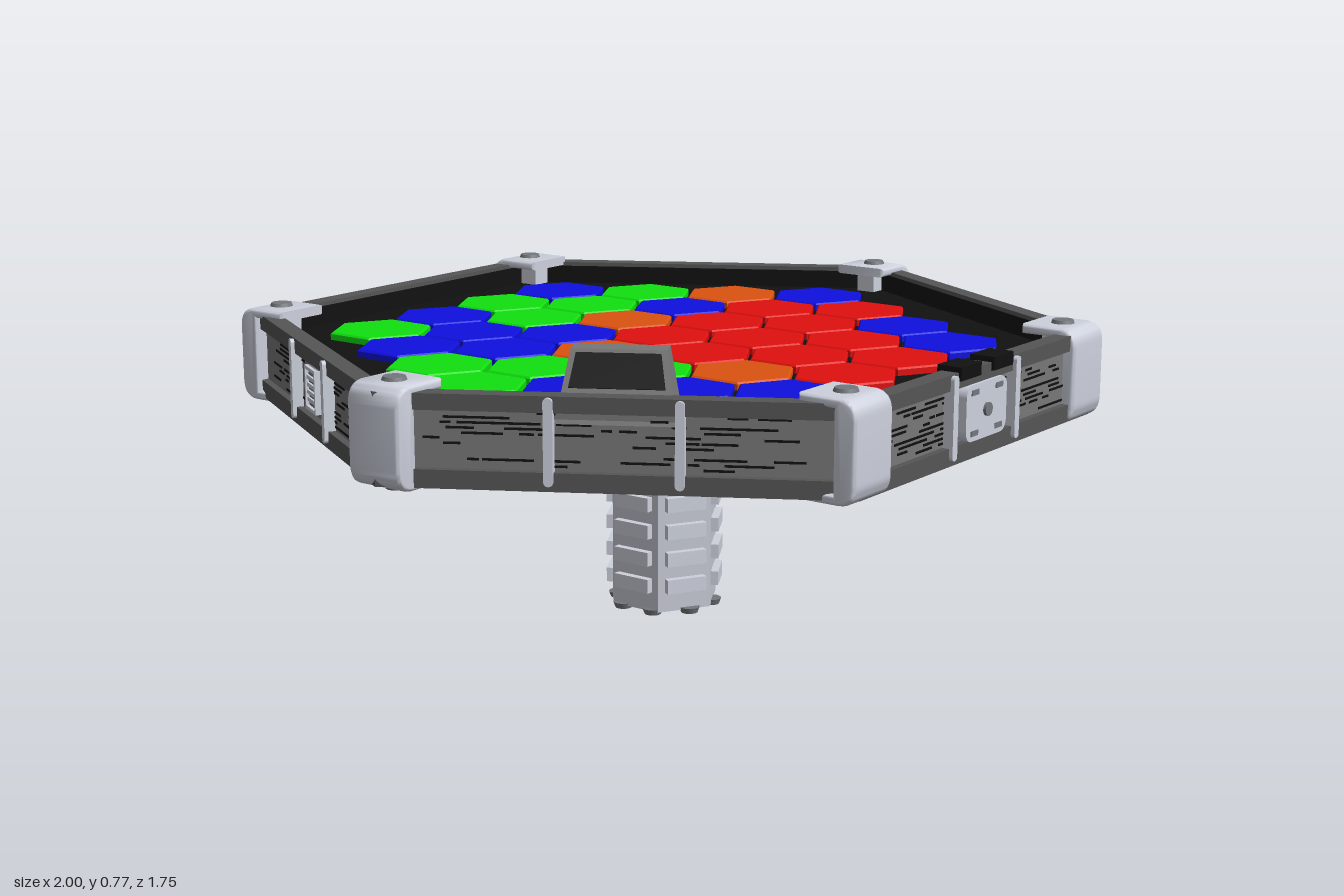
import * as THREE from 'three';
import { mergeGeometries, toCreasedNormals } from 'three/addons/utils/BufferGeometryUtils.js';

const mat = (color) => new THREE.MeshStandardMaterial({ color });
const M = {
  shell: mat(0xcdd1dd), rail: mat(0x555555), panel: mat(0x787878), black: mat(0x111111),
  under: mat(0x606668), screw: mat(0x74787c), column: mat(0xc4c8d2), hood: mat(0x777777),
  R: mat(0xe00f0f), G: mat(0x10e010), B: mat(0x0f0fe0), O: mat(0xdc5210),
};
const S3 = Math.sqrt(3) / 2;

function add(parent, name, geo, material, x = 0, y = 0, z = 0) {
  const m = new THREE.Mesh(geo, material);
  m.name = name;
  m.position.set(x, y, z);
  parent.add(m);
  return m;
}
const box = (w, h, d) => new THREE.BoxGeometry(w, h, d);

// Hexagon outline with flat sides facing +-y of the shape, given its apothem
function hexPoints(apothem, turn = 0) {
  return Array.from({ length: 6 }, (_, i) => {
    const a = turn + (i * Math.PI) / 3;
    return new THREE.Vector2(Math.cos(a), Math.sin(a)).multiplyScalar(apothem / S3);
  });
}

// Upright hexagonal prism or ring
function hexSlab(apothem, hole, y0, y1) {
  const s = new THREE.Shape(hexPoints(apothem));
  if (hole) s.holes.push(new THREE.Path(hexPoints(hole)));
  const g = new THREE.ExtrudeGeometry(s, { depth: y1 - y0, bevelEnabled: false });
  return g.rotateX(-Math.PI / 2).translate(0, y0, 0);
}

// Rectangle with rounded corners, extruded towards +z
function roundedPlate(w, h, r, d) {
  const s = new THREE.Shape(), x = w / 2, y = h / 2;
  s.moveTo(-x + r, -y);
  s.lineTo(x - r, -y).absarc(x - r, -y + r, r, -Math.PI / 2, 0);
  s.lineTo(x, y - r).absarc(x - r, y - r, r, 0, Math.PI / 2);
  s.lineTo(-x + r, y).absarc(-x + r, y - r, r, Math.PI / 2, Math.PI);
  s.lineTo(-x, -y + r).absarc(-x + r, -y + r, r, Math.PI, Math.PI * 1.5);
  return new THREE.ExtrudeGeometry(s, { depth: d, bevelEnabled: false, curveSegments: 6 });
}

// Disc facing +z
const disc = (r, d, n = 24) => new THREE.CylinderGeometry(r, r, d, n).rotateX(Math.PI / 2);

// Dark grain dashes scattered over one wall
function grain(seed, clear) {
  let s = seed;
  const rnd = () => (s = (s * 16807) % 2147483647) / 2147483647;
  const dashes = [];
  for (let i = 0; i < 64; i++) {
    const side = i % 2 ? 1 : -1, len = 0.02 + 0.07 * rnd();
    const x = side * (clear + len / 2 + rnd() * (0.40 - clear - len));
    const y = 0.54 + 0.011 * Math.floor(rnd() * 10.5);
    dashes.push(box(len, 0.005, 0.004).translate(x, y, 0.846));
  }
  return mergeGeometries(dashes);
}

// C-shaped clamp section: outward is +x, open towards the tray
function clampGeometry() {
  const s = new THREE.Shape();
  s.moveTo(-0.07, 0.482);
  s.lineTo(0.03, 0.482).quadraticCurveTo(0.07, 0.484, 0.07, 0.53);
  s.lineTo(0.07, 0.66).quadraticCurveTo(0.07, 0.701, 0.03, 0.705);
  s.lineTo(-0.07, 0.705);
  s.lineTo(-0.07, 0.682);
  s.lineTo(0.015, 0.682);
  s.lineTo(0.015, 0.505);
  s.lineTo(-0.07, 0.505);
  const g = new THREE.ExtrudeGeometry(s, {
    depth: 0.122, bevelThickness: 0.01, bevelSize: 0.008, bevelOffset: -0.008, bevelSegments: 3, curveSegments: 8,
  }).translate(0, 0, -0.061);
  return toCreasedNormals(g, 0.7);
}

// Slotted cover plate with a centre screw
function coverPlate(face) {
  add(face, 'coverPlate', roundedPlate(0.175, 0.125, 0.025, 0.024), M.shell, 0, 0.593, 0.846);
  for (const x of [-1, 1]) for (const y of [-1, 1])
    add(face, 'coverSlot', box(0.03, 0.012, 0.004), M.screw, x * 0.052, 0.593 + y * 0.045, 0.87);
  add(face, 'coverScrew', disc(0.015, 0.01), M.screw, 0, 0.593, 0.872);
}

function sideBars(face, x) {
  for (const s of [-1, 1])
    add(face, 'sideBar', roundedPlate(0.02, 0.185, 0.009, 0.03), M.shell, s * x, 0.595, 0.842);
}

// Square grille with slats
function grille(face) {
  add(face, 'grilleBack', box(0.085, 0.1, 0.012), M.screw, 0, 0.595, 0.85);
  for (const s of [-1, 1]) {
    add(face, 'grilleFrame', box(0.008, 0.1, 0.02), M.shell, s * 0.039, 0.595, 0.854);
    add(face, 'grilleFrame', box(0.085, 0.008, 0.02), M.shell, 0, 0.595 + s * 0.046, 0.854);
  }
  for (let i = -1; i < 3; i++) add(face, 'grilleSlat', box(0.07, 0.009, 0.014), M.shell, 0, 0.585 + i * 0.017, 0.854);
}

// Round speaker with concentric rings
function speaker(face) {
  add(face, 'speakerBody', disc(0.055, 0.02, 8), M.black, 0, 0.595, 0.855);
  add(face, 'speakerRing', new THREE.TorusGeometry(0.033, 0.006, 8, 32), M.shell, 0, 0.595, 0.865);
  add(face, 'speakerCentre', disc(0.013, 0.012), M.shell, 0, 0.595, 0.863);
}

// Console hood with a sloping dark screen facing outward
function hood(face) {
  const g = box(0.25, 0.145, 0.12), p = g.attributes.position;
  for (let i = 0; i < p.count; i++) if (p.getY(i) > 0) {
    p.setX(i, p.getX(i) * 0.8);
    if (p.getZ(i) > 0) p.setZ(i, -0.005);
  }
  const flat = g.toNonIndexed();
  flat.computeVertexNormals();
  add(face, 'consoleHood', flat, M.hood, 0, 0.7025, 0.79);
  const q = new THREE.Shape([[-0.10, -0.035], [0.10, -0.035], [0.088, 0.04], [-0.088, 0.04]].map(([x, y]) => new THREE.Vector2(x, y)));
  const screen = add(face, 'consoleScreen', new THREE.ExtrudeGeometry(q, { depth: 0.004, bevelEnabled: false }), M.black, 0, 0.731, 0.805);
  screen.rotation.x = -Math.atan2(0.065, 0.145);
}

export function createModel() {
  const model = new THREE.Group();
  model.name = 'hexagonalGameTable';

  // Tray and frame
  add(model, 'underside', hexSlab(0.825, 0, 0.497, 0.506), M.under);
  add(model, 'trayFloor', hexSlab(0.822, 0, 0.506, 0.635), M.black);
  add(model, 'wallPanels', hexSlab(0.846, 0.826, 0.5, 0.68), M.panel);
  add(model, 'innerLining', hexSlab(0.827, 0.818, 0.62, 0.68), M.black);
  add(model, 'lowerRail', hexSlab(0.863, 0.822, 0.49, 0.53), M.rail);
  add(model, 'upperRail', hexSlab(0.863, 0.82, 0.655, 0.69), M.rail);

  // Walls and their fittings, counted round from the front
  const fittings = [
    (f) => {
      coverPlate(f);
      sideBars(f, 0.135);
      for (const s of [-1, 1]) add(f, 'rimClip', box(0.085, 0.03, 0.06), M.black, s * 0.07, 0.687, 0.84);
    },
    speaker,
    grille,
    coverPlate,
    (f) => { grille(f); sideBars(f, 0.135); },
    (f) => { hood(f); sideBars(f, 0.135); },
  ];
  fittings.forEach((fit, i) => {
    const face = new THREE.Group();
    face.name = 'wall' + (i + 1);
    face.rotation.y = (i * Math.PI) / 3;
    add(face, 'grain', grain(71 + i * 977, i === 5 ? 0 : 0.08), M.black);
    fit(face);
    model.add(face);
  });

  // Corner clamps with screws
  const clamp = clampGeometry();
  const screwGeo = new THREE.CylinderGeometry(0.024, 0.028, 0.01, 20);
  for (let i = 0; i < 6; i++) {
    const a = (i * Math.PI) / 3, x = Math.cos(a) * 0.93, z = Math.sin(a) * 0.93;
    const c = new THREE.Group();
    c.name = 'cornerClamp';
    c.position.set(x, 0, z);
    c.rotation.y = i % 3 === 0 ? (i ? Math.PI : 0) : (z > 0 ? -1 : 1) * Math.PI / 2;
    add(c, 'clampShell', clamp, M.shell);
    add(c, 'clampPost', box(0.05, 0.06, 0.05), M.shell, -0.015, 0.655, 0);
    add(c, 'clampScrewTop', screwGeo, M.screw, 0, 0.708, 0);
    add(c, 'clampScrewBottom', screwGeo, M.screw, 0, 0.479, 0).rotation.x = Math.PI;
    model.add(c);
  }

  // Hexagonal tiles, back row first
  const tile = new THREE.ExtrudeGeometry(new THREE.Shape(hexPoints(0.1075, Math.PI / 6)), {
    depth: 0.014, bevelThickness: 0.004, bevelSize: 0.004, bevelOffset: -0.004, bevelSegments: 1,
  }).rotateX(-Math.PI / 2);
  ['GBGB', 'BBGGG', 'GBBOBO', 'GGORRRB', 'BGRRRR', 'BORRB', 'BRRB'].forEach((row, r) => {
    [...row].forEach((c, i) =>
      add(model, 'tile', tile, M[c], (i - (row.length - 1) / 2) * 0.226, 0.635, (r - 3) * 0.1965 - 0.01));
  });

  // Central column with slats and feet
  const column = new THREE.Group();
  column.name = 'column';
  add(column, 'columnBody', hexSlab(0.117, 0, 0.008, 0.5).rotateY(Math.PI / 6), M.column);
  for (let k = 0; k < 6; k++) {
    const side = new THREE.Group();
    side.name = 'columnSide';
    side.rotation.y = Math.PI / 6 + (k * Math.PI) / 3;
    for (let j = 0; j < 7; j++) add(side, 'columnSlat', box(0.1, 0.034, 0.02), M.shell, 0, 0.073 + j * 0.0665, 0.125);
    column.add(side);
  }
  for (let k = 0; k < 8; k++) {
    const a = (k + 0.5) * Math.PI / 4;
    add(column, 'foot', new THREE.CylinderGeometry(0.025, 0.02, 0.014, 16), M.screw, Math.cos(a) * 0.115, 0.007, Math.sin(a) * 0.115);
  }
  model.add(column);
  return model;
}
